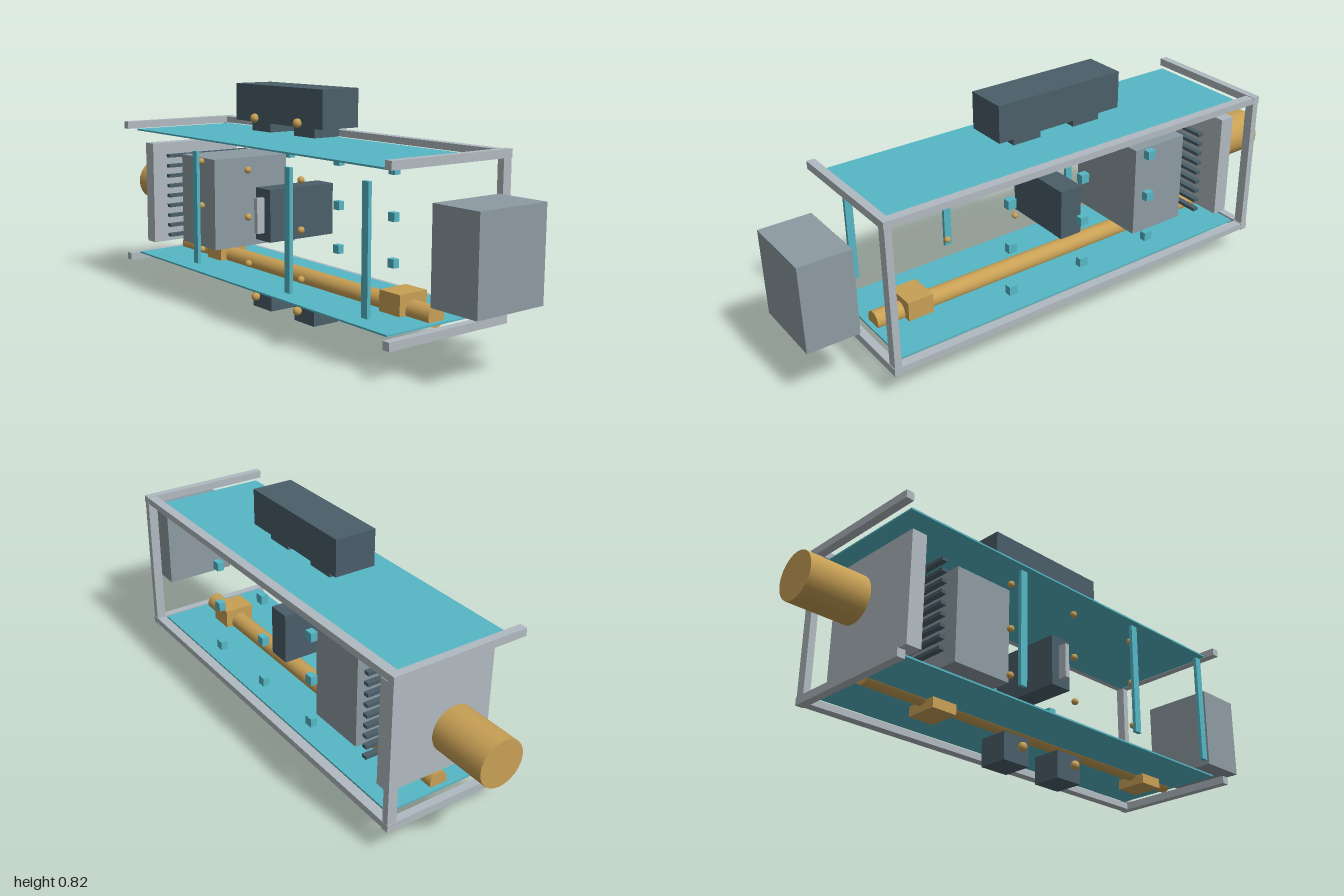
import * as THREE from 'three';

export function createModel() {
  const model = new THREE.Group();
  const material = (name, color) => {
    const m = new THREE.MeshStandardMaterial({ color });
    m.name = name;
    return m;
  };
  const lightGrey = material('light grey', 0xb0bac0);
  const midGrey = material('mid grey', 0x8d9aa2);
  const slate = material('slate', 0x4a5e69);
  const teal = material('teal', 0x56b6c5);
  const brass = material('brass', 0xc8a055);

  const add = (name, geometry, mat, x, y, z) => {
    const mesh = new THREE.Mesh(geometry, mat);
    mesh.name = name;
    mesh.position.set(x, y, z);
    model.add(mesh);
    return mesh;
  };
  // Box given by its limits on each axis
  const box = (name, mat, [x0, x1], [y0, y1], [z0, z1]) =>
    add(name, new THREE.BoxGeometry(x1 - x0, y1 - y0, z1 - z0), mat,
      (x0 + x1) / 2, (y0 + y1) / 2, (z0 + z1) / 2);
  const ball = (name, r, x, y, z) =>
    add(name, new THREE.SphereGeometry(r, 16, 12), brass, x, y, z);
  // Cylinder lying along x
  const rod = (name, r, x0, x1, y) => {
    add(name, new THREE.CylinderGeometry(r, r, x1 - x0, 24), brass, (x0 + x1) / 2, y, 0)
      .rotation.z = Math.PI / 2;
  };

  // Open frame: side rails, back rails and back posts
  for (const y of [0.098, 0.627]) {
    for (const x of [-0.802, 0.737]) {
      box('sideRail', lightGrey, [x, x + 0.029], [y, y + 0.028], [-0.251, 0.252]);
    }
    box('backRail', lightGrey, [-0.773, 0.737], [y + 0.002, y + 0.026], [-0.25, -0.215]);
  }
  for (const x of [-0.8, 0.739]) {
    box('backPost', lightGrey, [x, x + 0.025], [0.126, 0.627], [-0.25, -0.215]);
  }

  // Thin roof and floor panels
  box('roofPanel', teal, [-0.755, 0.72], [0.621, 0.627], [-0.215, 0.22]);
  box('floorPanel', teal, [-0.755, 0.72], [0.126, 0.132], [-0.215, 0.22]);

  // Front struts
  for (const x of [-0.296, 0.262, 0.644]) {
    box('frontStrut', teal, [x - 0.014, x + 0.014], [0.17, 0.583], [0.23, 0.243]);
  }

  // Shaft with its two bearing blocks, and the end motor
  rod('shaft', 0.034, -0.737, 0.703, 0.146);
  for (const x of [-0.46, 0.552]) {
    box('bearingBlock', brass, [x - 0.048, x + 0.048], [0.09, 0.203], [-0.058, 0.058]);
  }
  rod('motor', 0.082, -1, -0.785, 0.378);

  // End housing outside the frame
  box('endHousing', midGrey, [0.817, 1], [0.223, 0.531], [-0.139, 0.139]);

  // Cover plate, cooling fins and main block
  box('coverPlate', lightGrey, [-0.73, -0.674], [0.18, 0.573], [-0.198, 0.198]);
  for (let i = 0; i < 9; i++) {
    const y = 0.222 + i * 0.0388;
    box('coolingFin', slate, [-0.596, -0.575], [y - 0.006, y + 0.006], [-0.183, 0.183]);
  }
  box('mainBlock', midGrey, [-0.514, -0.288], [0.208, 0.545], [-0.163, 0.163]);

  // Central unit with a raised front strip
  box('centralUnit', slate, [-0.06, 0.026], [0.285, 0.47], [-0.139, 0.139]);
  box('centralStrip', lightGrey, [-0.026, -0.008], [0.314, 0.439], [0.139, 0.17]);

  // Three by three grid of beads in front and blocks behind
  for (const x of [-0.317, -0.017, 0.283]) {
    for (const y of [0.213, 0.377, 0.541]) {
      ball('bead', 0.012, x, y, 0.202);
      box('rearBlock', teal, [x - 0.016, x + 0.016], [y - 0.016, y + 0.016], [-0.215, -0.19]);
    }
  }

  // Top unit on two necks, and matching feet, each with a knob
  box('topUnit', slate, [-0.268, 0.235], [0.69, 0.823], [-0.077, 0.077]);
  for (const x of [-0.144, 0.107]) {
    box('topNeck', slate, [x - 0.056, x + 0.056], [0.655, 0.69], [-0.054, 0.054]);
    box('foot', slate, [x - 0.056, x + 0.056], [0, 0.099], [-0.054, 0.054]);
    ball('topKnob', 0.016, x, 0.704, 0.083);
    ball('footKnob', 0.016, x, 0.05, 0.083);
  }

  return model;
}
